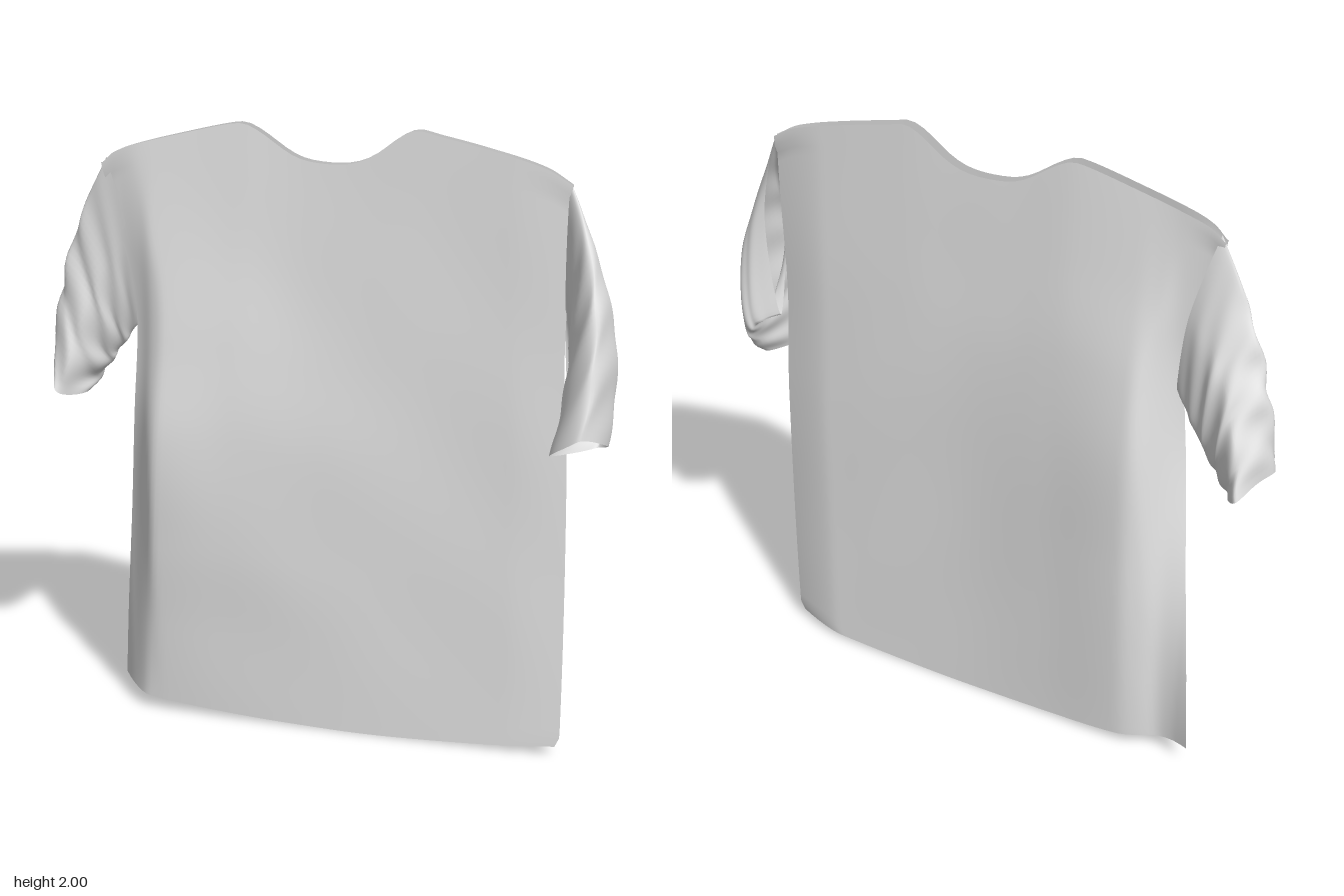
import * as THREE from 'three';

// Smooth interpolation through [position, value] pairs
function curveAt(pts, x) {
  const n = pts.length;
  if (x <= pts[0][0]) return pts[0][1];
  if (x >= pts[n - 1][0]) return pts[n - 1][1];
  let i = 0;
  while (x > pts[i + 1][0]) i++;
  const slope = (k) => {
    const a = pts[Math.max(k - 1, 0)], b = pts[Math.min(k + 1, n - 1)];
    return (b[1] - a[1]) / (b[0] - a[0]);
  };
  const [x0, y0] = pts[i], [x1, y1] = pts[i + 1];
  const h = x1 - x0, t = (x - x0) / h, t2 = t * t, t3 = t2 * t;
  return (2 * t3 - 3 * t2 + 1) * y0 + (t3 - 2 * t2 + t) * h * slope(i)
    + (3 * t2 - 2 * t3) * y1 + (t3 - t2) * h * slope(i + 1);
}

// Indexed surface from a rule (u, v) -> [x, y, z]
function surface(nu, nv, rule, closed = false, flip = false) {
  const pos = [], idx = [], cols = closed ? nu : nu + 1;
  for (let j = 0; j <= nv; j++)
    for (let i = 0; i < cols; i++) pos.push(...rule(i / nu, j / nv));
  for (let j = 0; j < nv; j++)
    for (let i = 0; i < nu; i++) {
      const a = j * cols + i, b = j * cols + (i + 1) % cols, c = a + cols, d = b + cols;
      if (flip) idx.push(a, d, b, a, c, d);
      else idx.push(a, b, d, a, d, c);
    }
  const g = new THREE.BufferGeometry();
  g.setAttribute('position', new THREE.Float32BufferAttribute(pos, 3));
  g.setIndex(idx);
  g.computeVertexNormals();
  return g;
}

// Outline of the body panels
const neckline = [[-0.72, 1.855], [-0.68, 1.89], [-0.6, 1.92], [-0.45, 1.96], [-0.3, 1.995], [-0.25, 1.998],
  [-0.2, 1.975], [-0.1, 1.91], [-0.03, 1.89], [0.08, 1.89], [0.15, 1.915], [0.24, 1.98], [0.29, 2.0],
  [0.35, 1.988], [0.5, 1.955], [0.68, 1.905], [0.76, 1.86]];
const hemline = [[-0.73, 0.075], [-0.6, 0.05], [-0.3, 0.02], [0, 0.005], [0.2, 0.003], [0.5, 0.015], [0.78, 0.035]];
const rightEdge = [[0, -0.73], [0.15, -0.705], [0.35, -0.665], [0.55, -0.63], [0.68, -0.615], [0.76, -0.625],
  [0.85, -0.665], [0.93, -0.7], [1, -0.725]];
const leftEdge = [[0, 0.77], [0.02, 0.785], [0.5, 0.775], [0.7, 0.755], [0.9, 0.76], [1, 0.76]];

// Fullness of the cloth: across by x, and up the body
const frontAcross = [[-0.66, 0.3], [-0.6, 0.7], [-0.55, 1], [-0.3, 0.75], [0, 0.36], [0.35, 0.1], [0.78, 0]];
const backAcross = [[-0.67, 0.1], [-0.6, 0.3], [-0.55, 0.7], [-0.48, 1], [-0.2, 0.63], [0.1, 0.3], [0.5, 0.1], [0.78, 0]];
const frontUp = [[0, 0.1], [0.15, 0.4], [0.3, 0.75], [0.5, 1], [0.65, 0.75], [0.8, 0.4], [1, 0]];
const backUp = [[0, 0.5], [0.15, 0.7], [0.35, 0.9], [0.55, 1], [0.7, 0.8], [0.85, 0.35], [1, 0]];
const rightSeam = [[0, -0.145], [0.15, -0.115], [0.35, -0.07], [0.55, -0.03], [0.7, -0.035], [1, -0.055]];

function panelRule(front) {
  return (s, v) => {
    // Columns crowd towards the two sides
    const u = 0.5 - 0.5 * Math.cos(Math.PI * s);
    const x = THREE.MathUtils.lerp(curveAt(rightEdge, v), curveAt(leftEdge, v), u);
    const lo = curveAt(hemline, x), y = lo + v * (curveAt(neckline, x) - lo);
    let z = front
      ? -0.035 + 0.097 * curveAt(frontAcross, x) * curveAt(frontUp, v)
      : -0.07 - 0.025 * (1 - v) - 0.09 * curveAt(backAcross, x) * curveAt(backUp, v);
    // Faint waves in the cloth
    z += 0.003 * Math.sin(9 * x + 4 * y) * Math.sin(5 * y) * v * (1 - v) * 4;
    // Both panels meet along the side seams, the shoulders stay parted
    const join = Math.max(1 - u / 0.08, 1 - (1 - u) / 0.12, 0);
    const seam = u < 0.5 ? curveAt(rightSeam, v) : -0.045;
    return [x, y, THREE.MathUtils.lerp(z, seam, join ** 1.5 * (v > 0.97 ? 0.5 : 1))];
  };
}

// Sleeve skinned over three loops: armhole, middle and cuff
function sleeveGeometry(loops, wrinkle, flip) {
  const rings = loops.map((pts) => new THREE.CatmullRomCurve3(pts.map((p) => new THREE.Vector3(...p)), true, 'centripetal'));
  return surface(48, 36, (u, t) => {
    const [a, m, b] = rings.map((r) => r.getPoint(u % 1));
    const p = a.multiplyScalar((1 - t) * (1 - 2 * t))
      .addScaledVector(m, 4 * t * (1 - t)).addScaledVector(b, t * (2 * t - 1));
    // Creases fade out at the armhole
    const w = wrinkle * Math.min(1, 2 * t);
    p.x += w * Math.sin(23 * t + 5 * Math.sin(2 * Math.PI * u));
    p.z += w * Math.cos(29 * t + 4 * Math.cos(2 * Math.PI * u));
    return [p.x, p.y, p.z];
  }, true, flip);
}

export function createModel() {
  const shirt = new THREE.Group();
  shirt.name = 'shirt';
  const cloth = new THREE.MeshStandardMaterial({ color: 0xe6e6e6, side: THREE.DoubleSide });
  cloth.name = 'pale grey cloth';
  const add = (name, geometry) => {
    const mesh = new THREE.Mesh(geometry, cloth);
    mesh.name = name;
    shirt.add(mesh);
  };

  // Body
  add('frontPanel', surface(80, 60, panelRule(true)));
  add('backPanel', surface(80, 60, panelRule(false), false, true));

  // Left sleeve, flattened and swung forward (crown, outer, underarm, inner)
  add('leftSleeve', sleeveGeometry([
    [[0.755, 1.86, -0.05], [0.785, 1.62, -0.1], [0.76, 1.25, -0.085], [0.75, 1.6, -0.035]],
    [[0.865, 1.54, 0.12], [0.9, 1.42, -0.07], [0.85, 1.19, -0.13], [0.78, 1.36, 0.05]],
    [[0.855, 1.17, 0.262], [0.912, 1.1, 0.07], [0.87, 1.06, -0.035], [0.755, 1.09, 0.18]],
  ], 0.003, false));

  // Right sleeve, hanging outward and back (crown, back, underarm, front)
  add('rightSleeve', sleeveGeometry([
    [[-0.71, 1.87, -0.055], [-0.635, 1.6, -0.09], [-0.61, 1.36, -0.085], [-0.63, 1.6, -0.04]],
    [[-0.865, 1.53, -0.085], [-0.79, 1.44, -0.18], [-0.72, 1.22, -0.135], [-0.77, 1.42, -0.05]],
    [[-0.925, 1.17, -0.085], [-0.88, 1.15, -0.255], [-0.815, 1.09, -0.14], [-0.88, 1.1, 0]],
  ], 0.006, true));

  return shirt;
}
